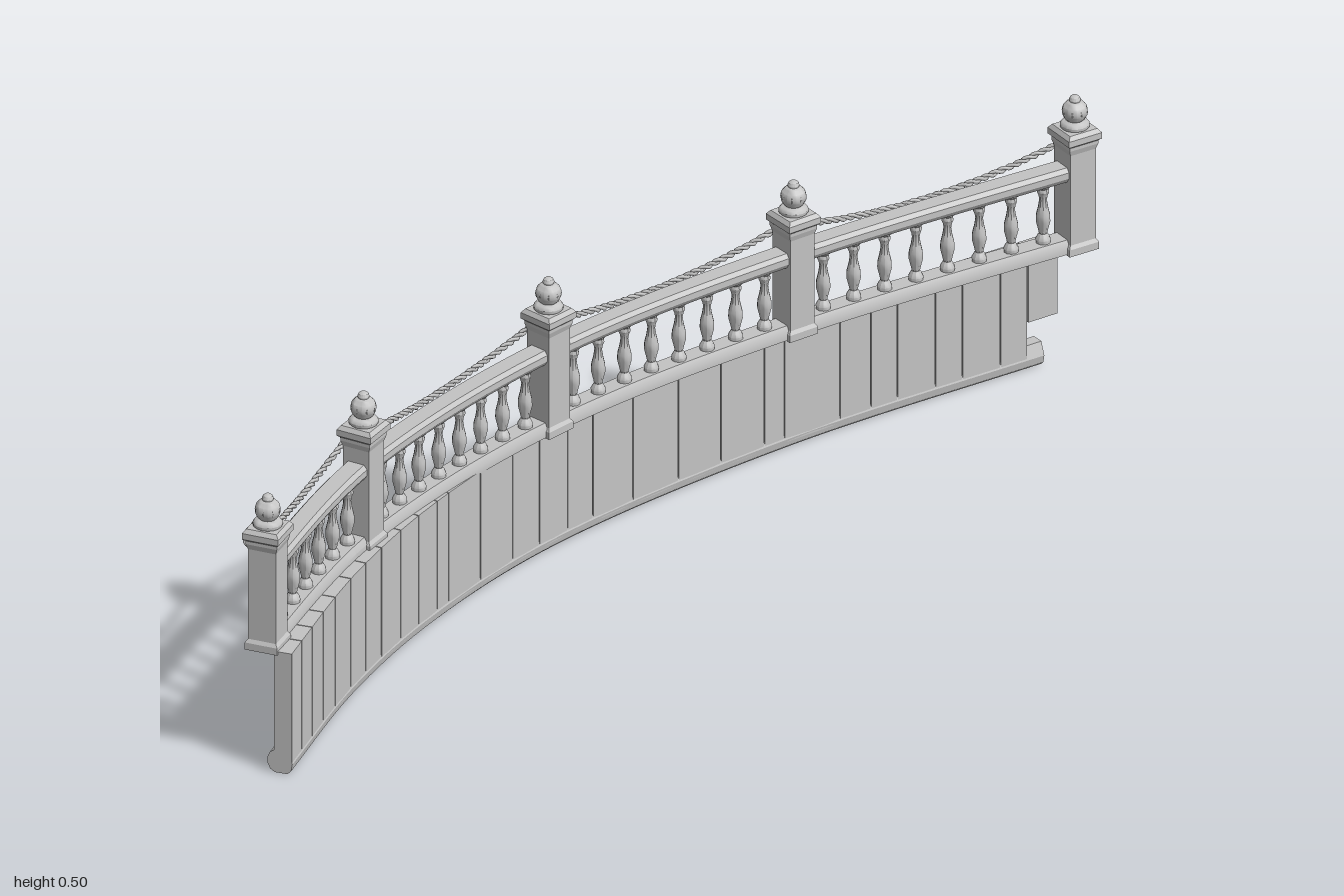
import * as THREE from 'three';
import { toCreasedNormals } from 'three/addons/utils/BufferGeometryUtils.js';

const V = (x, y, z) => new THREE.Vector3(x, y, z);
const UP = V(0, 1, 0);
const POST_Z = [0.96, 0.57, 0.063, -0.447, -0.957];

// Plan curves, running from the front end (+z) to the back end (-z)
const planCurve = pts => new THREE.CatmullRomCurve3(pts.map(([x, z]) => V(x, 0, z)));
const railCurve = planCurve([[-0.117, 0.99], [-0.123, 0.96], [-0.193, 0.57], [-0.164, 0.063],
  [-0.018, -0.447], [0.2, -0.957], [0.214, -0.99]]);
const wallCurve = planCurve([[-0.078, 0.99], [-0.152, 0.68], [-0.182, 0.4], [-0.166, 0.06],
  [-0.04, -0.45], [0.162, -0.97]]);

// Point, direction and outward side of a plan curve at a given z
function at(curve, z) {
  let lo = 0, hi = 1;
  for (let i = 0; i < 24; i++) {
    const mid = (lo + hi) / 2;
    if (curve.getPoint(mid).z > z) lo = mid; else hi = mid;
  }
  const p = curve.getPoint(lo), dir = curve.getTangent(lo);
  return { p, dir, out: UP.clone().cross(dir) };
}

// Sweeps a convex profile of [outward, y] points (anticlockwise) from z0 to z1
function sweep(curve, profile, z0, z1, steps) {
  const pos = [], index = [], n = profile.length;
  for (let i = 0; i <= steps; i++) {
    const f = at(curve, z0 + (z1 - z0) * i / steps);
    for (const [o, y] of profile) {
      const q = f.p.clone().addScaledVector(f.out, o);
      pos.push(q.x, y, q.z);
    }
  }
  for (let i = 0; i < steps; i++) {
    for (let j = 0; j < n; j++) {
      const a = i * n + j, b = i * n + (j + 1) % n;
      index.push(a, b, b + n, a, b + n, a + n);
    }
  }
  const e = steps * n;
  for (let j = 1; j < n - 1; j++) index.push(0, j + 1, j, e, e + j, e + j + 1);
  const g = new THREE.BufferGeometry();
  g.setAttribute('position', new THREE.Float32BufferAttribute(pos, 3));
  g.setIndex(index);
  return toCreasedNormals(g, 0.5);
}

const rect = (half, y0, y1) => [[-half, y0], [half, y0], [half, y1], [-half, y1]];

function lathe(points, sides, crease = 0.7) {
  return toCreasedNormals(new THREE.LatheGeometry(points.map(p => new THREE.Vector2(...p)), sides), crease);
}

export function createModel() {
  const model = new THREE.Group();
  const stone = new THREE.MeshStandardMaterial({ color: 0xc4c4c4 });
  stone.name = 'light grey';
  const add = (parent, name, geometry) => {
    const mesh = new THREE.Mesh(geometry, stone);
    mesh.name = name;
    parent.add(mesh);
    return mesh;
  };

  // Plank wall: separate boards over a thinner core, notched at the back end
  const joints = [0.978, 0.93, 0.88, 0.825, 0.77, 0.7, 0.64, 0.58, 0.51, 0.45, 0.39, 0.355, 0.26, 0.17, 0.1,
    0.03, -0.03, -0.12, -0.22, -0.31, -0.4, -0.44, -0.55, -0.61, -0.66, -0.73, -0.78, -0.85, -0.9, -0.955];
  const planks = new THREE.Group();
  planks.name = 'plankWall';
  model.add(planks);
  for (let i = 0; i < joints.length - 1; i++) {
    const last = i === joints.length - 2;
    add(planks, 'plank', sweep(wallCurve, rect(0.0155, last ? 0.09 : 0.015, 0.226),
      joints[i] - (i ? 0.001 : 0), joints[i + 1] + (last ? 0 : 0.001), 1));
  }
  add(planks, 'wallCore', sweep(wallCurve, rect(0.0125, 0.015, 0.225), 0.975, -0.9, 40));

  // Rounded moulding along the foot of the wall
  add(model, 'footMoulding', sweep(wallCurve, [[-0.008, 0.001], [0.014, 0.001], [0.022, 0.006], [0.027, 0.016],
    [0.027, 0.028], [0.023, 0.037], [0.014, 0.043], [-0.008, 0.043], [-0.0165, 0.02], [-0.014, 0.007]],
    0.978, -0.93, 48));

  // Bottom rail and handrail
  add(model, 'bottomRail', sweep(railCurve, [[-0.022, 0.222], [0.022, 0.222], [0.022, 0.235], [0.016, 0.246],
    [-0.016, 0.246], [-0.022, 0.235]], 0.955, -0.955, 48));
  add(model, 'handrail', sweep(railCurve, [[-0.015, 0.353], [0.015, 0.353], [0.021, 0.362], [0.021, 0.373],
    [0.015, 0.38], [-0.015, 0.38], [-0.021, 0.373], [-0.021, 0.362]], 0.955, -0.955, 48));

  // Posts with square caps and ribbed ball finials
  const r2 = Math.SQRT2;
  const postGeo = lathe([[0, 0.22], [0.029, 0.22], [0.029, 0.233], [0.025, 0.239], [0.025, 0.406], [0.028, 0.416],
    [0.028, 0.422], [0.0325, 0.426], [0.0325, 0.437], [0.027, 0.444], [0, 0.444]]
    .map(([h, y]) => [h * r2, y]), 4, 0.2);
  postGeo.rotateY(Math.PI / 4);
  const finialGeo = lathe([[0.022, 0.442], [0.025, 0.446], [0.025, 0.45], [0.021, 0.455], [0.014, 0.457],
    [0.018, 0.461], [0.021, 0.468], [0.0215, 0.475], [0.0195, 0.483], [0.014, 0.489], [0.009, 0.491],
    [0.01, 0.494], [0.008, 0.499], [0.004, 0.502], [0, 0.503]], 16);
  const ribGeo = new THREE.TorusGeometry(0.0205, 0.0016, 5, 24);
  const ringGeo = new THREE.TorusGeometry(0.012, 0.003, 6, 16);
  for (const z of POST_Z) {
    const f = at(railCurve, z);
    const post = new THREE.Group();
    post.name = 'post';
    post.position.copy(f.p);
    post.rotation.y = Math.atan2(f.dir.x, f.dir.z);
    add(post, 'postShaft', postGeo);
    add(post, 'finial', finialGeo);
    for (let k = 0; k < 4; k++) {
      const rib = add(post, 'finialRib', ribGeo);
      rib.position.y = 0.473;
      rib.scale.y = 0.86;
      rib.rotation.y = k * Math.PI / 4;
    }
    const ring = add(post, 'ropeRing', ringGeo);
    ring.position.set(0.03, 0.408, 0);
    model.add(post);
  }

  // Turned balusters between the posts
  const balusterGeo = lathe([[0.012, 0.242], [0.013, 0.252], [0.01, 0.258], [0.007, 0.263], [0.009, 0.272],
    [0.0125, 0.286], [0.012, 0.297], [0.0085, 0.312], [0.0065, 0.325], [0.008, 0.334], [0.0105, 0.34],
    [0.009, 0.346], [0.012, 0.349], [0.012, 0.356]], 10);
  const counts = [6, 8, 8, 8];
  counts.forEach((count, s) => {
    for (let i = 0; i < count; i++) {
      const z = THREE.MathUtils.lerp(POST_Z[s], POST_Z[s + 1], (i + 1) / (count + 1));
      add(model, 'baluster', balusterGeo).position.copy(at(railCurve, z).p);
    }
  });

  // Twisted rope sagging from post to post on the outer side
  for (let s = 0; s < 4; s++) {
    const z0 = POST_Z[s], z1 = POST_Z[s + 1];
    const turns = Math.round((z0 - z1) / 0.028), steps = turns * 8;
    for (let strand = 0; strand < 2; strand++) {
      const path = [];
      for (let i = 0; i <= steps; i++) {
        const t = i / steps, sag = 4 * t * (1 - t);
        const f = at(railCurve, z0 + (z1 - z0) * t);
        const a = t * turns * Math.PI * 2 + strand * Math.PI;
        const p = f.p.clone().addScaledVector(f.out, 0.033 + 0.007 * sag + 0.0028 * Math.cos(a));
        p.y = 0.403 - 0.037 * sag + 0.0028 * Math.sin(a);
        path.push(p);
      }
      add(model, 'ropeStrand', new THREE.TubeGeometry(new THREE.CatmullRomCurve3(path), steps, 0.0034, 5));
    }
  }
  return model;
}
